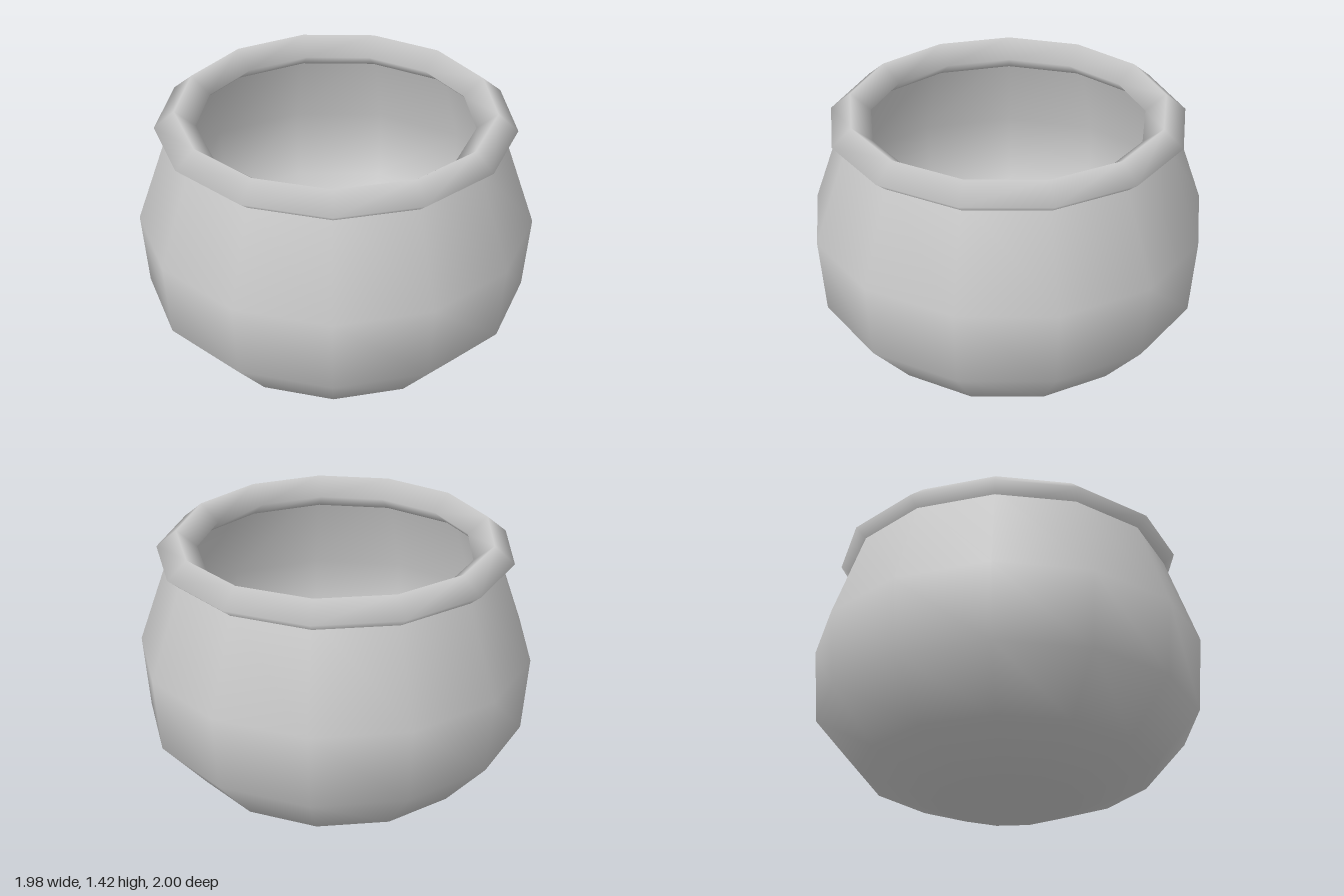
import * as THREE from 'three';

const SIDES = 13;
const OFFSET_X = 0.015; // an odd number of sides shifts the extents off the axis

export function createModel() {
  const group = new THREE.Group();
  group.name = 'pot';
  const material = new THREE.MeshStandardMaterial({ color: 0xcccccc, side: THREE.DoubleSide });

  // Thin round body: floor, belly and shoulder, ending inside the rim
  const profile = [
    [0, 0], [0.357, 0.005], [0.75, 0.16], [0.98, 0.43], [1.007, 0.82], [0.83, 1.32],
  ].map(([r, y]) => new THREE.Vector2(r, y));
  const body = new THREE.Mesh(new THREE.LatheGeometry(profile, SIDES, -Math.PI / 2), material);
  body.name = 'body';

  // Rolled rim: a four-sided ring, slightly flattened
  const ring = new THREE.TorusGeometry(0.796, 0.102, 4, SIDES);
  ring.rotateX(Math.PI / 2).rotateY(Math.PI).scale(1, 0.84, 1);
  const rim = new THREE.Mesh(ring, material);
  rim.name = 'rim';
  rim.position.y = 1.335;

  for (const part of [body, rim]) {
    part.position.x = OFFSET_X;
    group.add(part);
  }
  return group;
}
